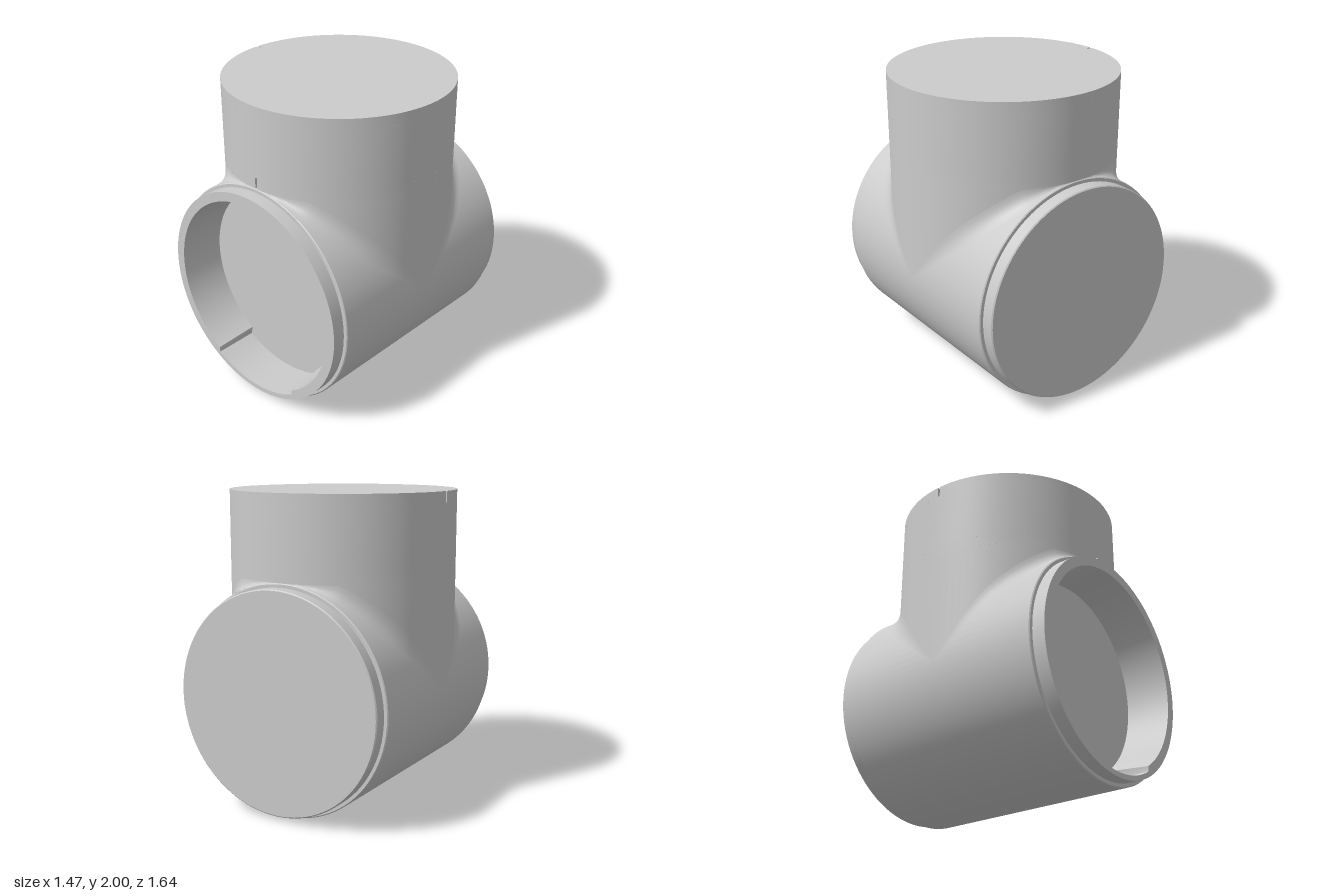
import * as THREE from 'three';
import { toCreasedNormals } from 'three/addons/utils/BufferGeometryUtils.js';

const R = 0.733;        // radius of both tubes, and height of the run's axis
const SEG = 96;
const LIP = 0.82;       // half length including collars
const FLOOR = 0.53;     // z of the socket floor
const grey = new THREE.MeshStandardMaterial({ color: 0xcccccc, side: THREE.DoubleSide });

function add(parent, name, geometry, crease = 0.5) {
  const mesh = new THREE.Mesh(toCreasedNormals(geometry, crease), grey);
  mesh.name = name;
  parent.add(mesh);
  return mesh;
}

// Surface through a grid of points: point(i, j) for i in 0..rows, j in 0..cols
function gridSurface(rows, cols, point) {
  const pos = [], index = [];
  for (let i = 0; i <= rows; i++) {
    for (let j = 0; j <= cols; j++) pos.push(...point(i, j));
  }
  for (let i = 0; i < rows; i++) {
    for (let j = 0; j < cols; j++) {
      const a = i * (cols + 1) + j, b = a + cols + 1;
      index.push(a, a + 1, b, b, a + 1, b + 1);
    }
  }
  const g = new THREE.BufferGeometry();
  g.setAttribute('position', new THREE.Float32BufferAttribute(pos, 3));
  g.setIndex(index);
  g.computeVertexNormals();
  return g;
}

// Socket outline: a round bore with a shallow channel along the bottom
function socketOutline(r) {
  const pts = [], half = 0.555, step = 0.03;
  const put = (radius, a) => pts.push(new THREE.Vector2(radius * Math.sin(a), -radius * Math.cos(a)));
  for (let i = 0; i <= 16; i++) put(0.675, -half + step + (2 * (half - step) * i) / 16);
  for (let i = 0; i <= 80; i++) put(r, half + ((2 * Math.PI - 2 * half) * i) / 80);
  return pts;
}

// Solid disc with a narrow slot cut in its rim at the given angle
function slottedDisc(angle, y0, y1) {
  const half = 0.011, pts = [];
  for (let i = 0; i <= SEG; i++) {
    const a = angle + half + ((2 * Math.PI - 2 * half) * i) / SEG;
    pts.push(new THREE.Vector2(R * Math.cos(a), R * Math.sin(a)));
  }
  for (const s of [-1, 1]) {
    const a = angle + s * half;
    pts.push(new THREE.Vector2(0.7 * Math.cos(a), 0.7 * Math.sin(a)));
  }
  const g = new THREE.ExtrudeGeometry(new THREE.Shape(pts), { depth: y1 - y0, bevelEnabled: false });
  return g.rotateX(-Math.PI / 2).translate(0, y0, 0);
}

export function createModel() {
  const model = new THREE.Group();
  model.name = 'teeFitting';

  // Horizontal run with stepped collars, closed at the back
  const run = new THREE.Group();
  run.name = 'run';
  run.position.y = R;
  model.add(run);
  const profile = [
    [0, -LIP], [0.7, -LIP], [0.707, -LIP + 0.007], [0.707, -0.735], [0.727, -0.735], [R, -0.729],
    [R, 0.729], [0.727, 0.735], [0.707, 0.735], [0.707, LIP],
  ].map(([r, z]) => new THREE.Vector2(r, z));
  add(run, 'runShell', new THREE.LatheGeometry(profile, SEG).rotateX(Math.PI / 2));

  // Front socket: rim, tapered wall and floor
  const mouth = socketOutline(0.645), inner = socketOutline(0.62);
  const rim = new THREE.Shape().absarc(0, 0, 0.707, 0, Math.PI * 2);
  rim.holes.push(new THREE.Path(mouth));
  add(run, 'socketRim', new THREE.ShapeGeometry(rim, SEG / 2).translate(0, 0, LIP));
  add(run, 'socketWall', gridSurface(1, mouth.length, (i, j) => {
    const p = (i ? inner : mouth)[j % mouth.length];
    return [p.x, p.y, i ? FLOOR : LIP];
  }));
  add(run, 'socketFloor', new THREE.ShapeGeometry(new THREE.Shape(inner)).translate(0, 0, FLOOR));

  // Vertical branch, its lower edge following the saddle seam
  const branch = new THREE.Group();
  branch.name = 'branch';
  model.add(branch);
  const tube = (name, y0, y1, seam) => {
    const g = new THREE.CylinderGeometry(R, R, y1 - y0, SEG, 1, true).translate(0, (y0 + y1) / 2, 0);
    const p = g.attributes.position;
    for (let i = 0; seam && i < p.count; i++) {
      if (p.getY(i) < y0 + 0.01) p.setY(i, R + Math.abs(p.getZ(i)));
    }
    add(branch, name, g);
  };
  tube('branchBase', R, 1.47, true);
  add(branch, 'frontMarkBand', slottedDisc(-Math.PI / 2, 1.47, 1.54));
  tube('branchTube', 1.54, 1.93, false);
  add(branch, 'topMarkBand', slottedDisc(Math.PI, 1.93, 2));

  // Soft fillets where the branch meets the run, front and back
  for (const side of [1, -1]) {
    add(model, side > 0 ? 'frontFillet' : 'backFillet', gridSurface(6, 64, (i, j) => {
      const a = (Math.PI * j) / 64, t = i / 6;
      const x = R * Math.cos(a), z = R * Math.sin(a);
      const f = Math.min(0.09 * Math.min(1, z / 0.35), 0.733 - z);
      // quarter sweep from the branch wall down to the run
      const up = f * (1 - t) ** 2, out = f * t ** 2;
      return [x, R + z + up, side * (z + out)];
    }), 1);
  }
  return model;
}
